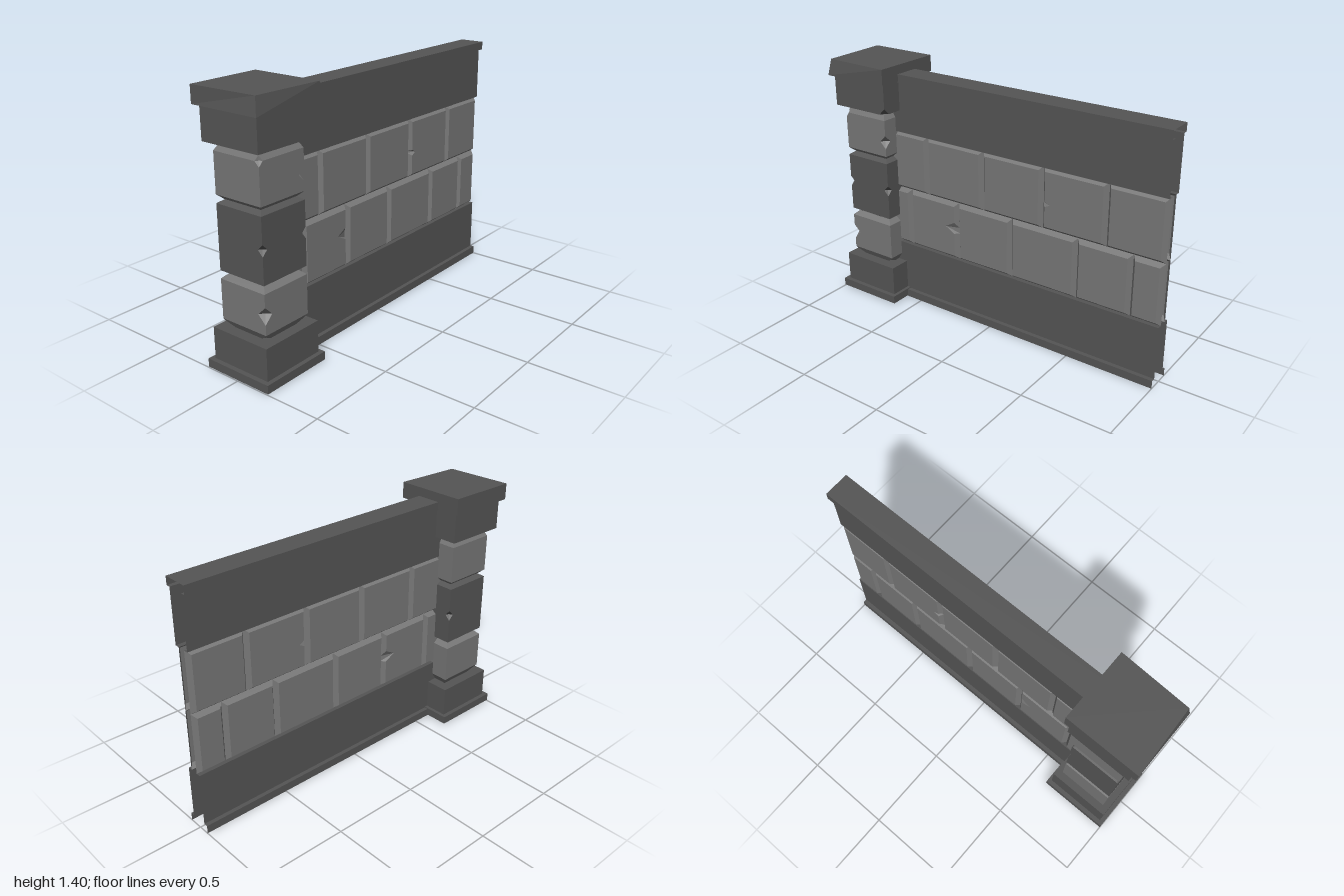
import * as THREE from 'three';

const dark = new THREE.MeshStandardMaterial({ color: 0x555555, flatShading: true, side: THREE.DoubleSide });
const light = new THREE.MeshStandardMaterial({ color: 0x777777, flatShading: true, side: THREE.DoubleSide });

// Collects triangles (skipping collapsed ones) into a geometry
function builder() {
  const pos = [];
  const tri = (a, b, c) => {
    if (new THREE.Triangle(a, b, c).getArea() > 1e-8) for (const p of [a, b, c]) pos.push(p.x, p.y, p.z);
  };
  const quad = (a, b, c, d) => { tri(a, b, c); tri(a, c, d); };
  const build = () => {
    const g = new THREE.BufferGeometry();
    g.setAttribute('position', new THREE.Float32BufferAttribute(pos, 3));
    g.computeVertexNormals();
    return g;
  };
  return { tri, quad, build };
}

const V = (x, y, z) => new THREE.Vector3(x, y, z);

function add(parent, name, geometry, material) {
  const mesh = new THREE.Mesh(geometry, material);
  mesh.name = name;
  parent.add(mesh);
  return mesh;
}

// Block with bevelled ends and notches [y, signX, signZ, size] in its upright edges
function block(cx, hx, hz, y0, y1, bevel0, bevel1, inset, chips = []) {
  const { tri, quad, build } = builder();
  const levels = new Set([y0, y0 + bevel0, y1 - bevel1, y1]);
  for (const [y, , , d] of chips) {
    for (const l of [y - d, y, y + d]) if (l >= y0 && l <= y1) levels.add(l);
  }
  const ys = [...levels].sort((a, b) => a - b);
  const corners = [[1, 1], [1, -1], [-1, -1], [-1, 1]];
  const rings = ys.map((y) => {
    const t = Math.max(0, bevel0 ? (y0 + bevel0 - y) / bevel0 : 0, bevel1 ? (y - y1 + bevel1) / bevel1 : 0);
    const ax = hx - inset * t, az = hz - inset * t;
    return corners.flatMap(([sx, sz], i) => {
      const chip = chips.find((c) => c[0] === y && c[1] === sx && c[2] === sz);
      const d = chip ? chip[3] : 0;
      const alongX = V(cx + sx * (ax - d), y, sz * az);
      const alongZ = V(cx + sx * ax, y, sz * (az - d));
      const corner = V(cx + sx * (ax - d * 0.6), y, sz * (az - d * 0.6));
      return i % 2 ? [alongZ, corner, alongX] : [alongX, corner, alongZ];
    });
  });
  const n = 12, bottom = V(cx, y0, 0), top = V(cx, y1, 0), last = rings.length - 1;
  for (let j = 0; j < n; j++) {
    const k = (j + 1) % n;
    for (let i = 0; i < last; i++) quad(rings[i][j], rings[i][k], rings[i + 1][k], rings[i + 1][j]);
    tri(bottom, rings[0][k], rings[0][j]);
    tri(top, rings[last][j], rings[last][k]);
  }
  return build();
}

// Wall brick: raised face, sloped rim, open back; chip = [side, y, size]
function brick(x0, x1, y0, y1, chip) {
  const { tri, quad, build } = builder();
  const b = 0.02, zFace = 0.047, zJoint = 0.022;
  const outer = [], face = [];
  const put = (ox, oy, fx, fy) => { outer.push(V(ox, oy, zJoint)); face.push(V(fx, fy, zFace)); };
  const notch = (side) => {
    if (!chip || chip[0] !== side) return;
    const [, y, d] = chip, x = side > 0 ? x1 : x0;
    for (const k of [-1, 0, 1]) {
      const yy = y + side * k * d * 0.55;
      put(x, yy, x - side * (b + (k ? 0 : d)), yy);
    }
  };
  put(x0, y0, x0 + b, y0 + b);
  put(x1, y0, x1 - b, y0 + b);
  notch(1);
  put(x1, y1, x1 - b, y1 - b);
  put(x0, y1, x0 + b, y1 - b);
  notch(-1);
  face.forEach((p, i) => {
    const k = (i + 1) % face.length;
    quad(outer[i], outer[k], face[k], p);
  });
  for (const [i, j, k] of THREE.ShapeUtils.triangulateShape(face.map((p) => new THREE.Vector2(p.x, p.y)), [])) {
    tri(face[i], face[j], face[k]);
  }
  return build();
}

// Sheet drawn along x from a (z, y) profile
function strip(profile, x0, x1) {
  const { quad, build } = builder();
  for (let i = 0; i + 1 < profile.length; i++) {
    const [za, ya] = profile[i], [zb, yb] = profile[i + 1];
    quad(V(x0, ya, za), V(x1, ya, za), V(x1, yb, zb), V(x0, yb, zb));
  }
  return build();
}

export function createModel() {
  const model = new THREE.Group();
  model.name = 'stoneWallWithPost';

  // Post: plinth, base, three stones, neck and cap
  const post = new THREE.Group();
  post.name = 'post';
  model.add(post);
  const cx = -0.797;
  add(post, 'plinth', block(-0.8, 0.2, 0.2, 0.005, 0.05, 0, 0, 0), dark);
  add(post, 'base', block(cx, 0.178, 0.176, 0.05, 0.22, 0, 0, 0), dark);
  add(post, 'lowerStone', block(cx, 0.143, 0.143, 0.22, 0.495, 0.042, 0.024, 0.026,
    [[0.36, -1, 1, 0.045], [0.22, -1, 1, 0.03], [0.22, 1, 1, 0.03], [0.22, -1, -1, 0.03]]), light);
  add(post, 'middleStone', block(cx, 0.143, 0.143, 0.495, 0.868, 0.019, 0.019, 0.03,
    [[0.685, -1, 1, 0.03], [0.685, 1, 1, 0.03], [0.685, 1, -1, 0.03]]), dark);
  add(post, 'upperStone', block(cx, 0.143, 0.143, 0.868, 1.145, 0.024, 0.045, 0.026,
    [[0.975, 1, 1, 0.038], [1.1, -1, 1, 0.025]]), light);
  add(post, 'neck', block(cx, 0.178, 0.176, 1.145, 1.315, 0, 0, 0, [[1.145, 1, 1, 0.036]]), dark);

  // Cap with one worn top corner
  const cap = new THREE.BoxGeometry(0.4, 0.09, 0.4).translate(-0.8, 1.36, 0);
  const p = cap.attributes.position;
  for (let i = 0; i < p.count; i++) {
    if (p.getX(i) < -0.9 && p.getY(i) > 1.36 && p.getZ(i) > 0) p.setXYZ(i, -0.985, p.getY(i), 0.185);
  }
  add(post, 'cap', cap, dark);

  // Hollow wall: the same face on the front and the back, open at the end
  const wall = new THREE.Group();
  wall.name = 'wall';
  wall.position.z = 0.007;
  model.add(wall);
  const start = -0.8, end = 1;
  const footing = [[0.07, 0], [0.07, 0.045], [0.047, 0.045], [0.047, 0.34], [0.022, 0.34]];
  const coping = [[0.022, 1.02], [0.047, 1.02], [0.047, 1.31], [0.07, 1.31], [0.07, 1.355]];
  const rows = [
    { y: 0.34, joints: [start, -0.57, -0.235, 0.12, 0.52, 0.83, end], chips: { 1: [1, 0.53, 0.06] } },
    { y: 0.68, joints: [start, -0.44, -0.065, 0.31, 0.68, end], chips: { 3: [-1, 0.825, 0.03] } },
  ];
  for (const side of [1, -1]) {
    const face = new THREE.Group();
    face.name = side > 0 ? 'frontFace' : 'backFace';
    face.scale.z = side;
    wall.add(face);
    add(face, 'footing', strip(footing, start, end), dark);
    add(face, 'coping', strip(coping, start, end), dark);
    for (const { y, joints, chips } of rows) {
      for (let i = 0; i + 1 < joints.length; i++) {
        add(face, 'brick', brick(joints[i], joints[i + 1], y, y + 0.34, chips[i]), light);
      }
    }
  }
  add(wall, 'copingTop', new THREE.PlaneGeometry(end - start, 0.14).rotateX(-Math.PI / 2)
    .translate((start + end) / 2, 1.355, 0), dark);

  return model;
}
